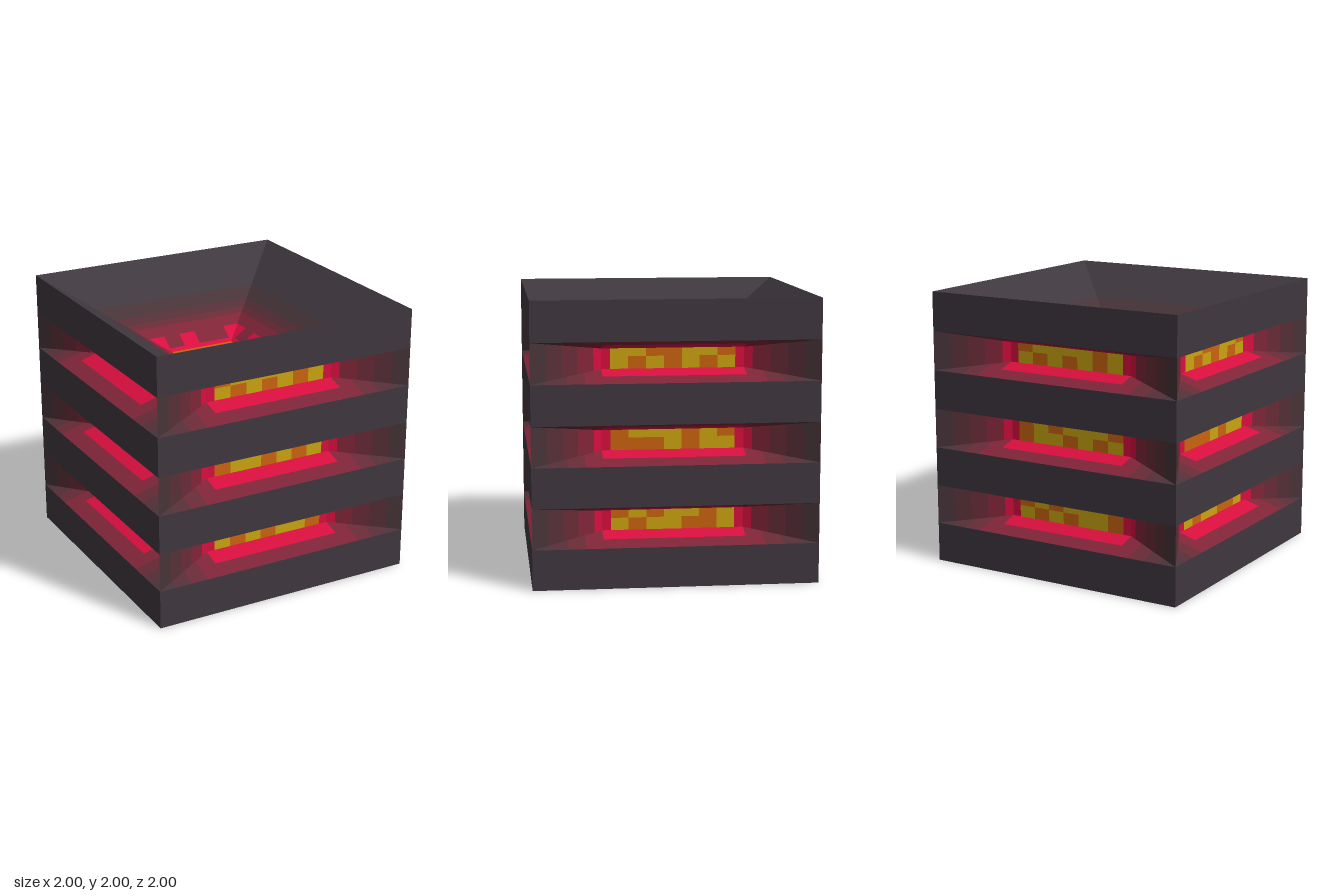
import * as THREE from 'three';

const mat = (name, color) => {
  const m = new THREE.MeshStandardMaterial({ color, side: THREE.DoubleSide });
  m.name = name;
  return m;
};

// Colours run from the cold casing to the hot core
const MATERIALS = [
  mat('charcoal', 0x3f383f),
  mat('warm charcoal', 0x473439),
  mat('dull maroon', 0x562f37),
  mat('maroon', 0x682b36),
  mat('ember red', 0x802538),
  mat('crimson', 0xd80f3e),
  mat('orange', 0xcb640e),
  mat('yellow', 0xcba310),
];
const [CASE, WARM, DULL, MAROON, EMBER, CRIMSON, ORANGE, YELLOW] = MATERIALS.keys();

// Collects flat quads and turns them into one mesh with a geometry group per colour
function patchwork(name) {
  const lists = MATERIALS.map(() => []);
  return {
    quad(colour, corners, flip = false) {
      const [a, b, c, d] = flip ? [...corners].reverse() : corners;
      lists[colour].push(...a, ...b, ...c, ...a, ...c, ...d);
    },
    mesh() {
      const geometry = new THREE.BufferGeometry();
      const used = lists.map((l, i) => i).filter((i) => lists[i].length);
      let start = 0;
      used.forEach((i, slot) => {
        geometry.addGroup(start, lists[i].length / 3, slot);
        start += lists[i].length / 3;
      });
      geometry.setAttribute('position', new THREE.Float32BufferAttribute(used.flatMap((i) => lists[i]), 3));
      geometry.computeVertexNormals();
      const mesh = new THREE.Mesh(geometry, used.map((i) => MATERIALS[i]));
      mesh.name = name;
      return mesh;
    },
  };
}

const UNIT = 2 / 7; // height of one band or slot
const INSET = UNIT / 4; // how far a slot narrows at top and bottom
const DEPTH = 0.25;

// Upright casing band on the front side
function casingBand(y) {
  const p = patchwork('casingBand');
  p.quad(CASE, [[-1, y, 1], [1, y, 1], [1, y + UNIT, 1], [-1, y + UNIT, 1]]);
  return p.mesh();
}

// Sloped sill (or ceiling) of a slot; t runs from the outside in
function slotSlope(name, y, dir) {
  const p = patchwork(name);
  const at = (x, t) => [x, y + dir * INSET * t, 1 - DEPTH * t];
  const strip = (colour, a, b, t0, t1) => {
    const ta = Math.min(t1, 2 - 2 * Math.abs(a));
    const tb = Math.min(t1, 2 - 2 * Math.abs(b));
    p.quad(colour, [at(a, t0), at(b, t0), at(b, tb), at(a, ta)], dir < 0);
  };
  strip(CRIMSON, -0.5, 0.5, 0.5, 1);
  strip(EMBER, -0.625, 0.625, 0, 0.5);
  const sides = [
    [EMBER, 0.5, 0.625, 0.5, 1], [MAROON, 0.625, 0.75, 0.5, 1],
    [MAROON, 0.625, 0.75, 0, 0.5], [DULL, 0.75, 0.875, 0, 0.5], [WARM, 0.875, 1, 0, 0.5],
  ];
  for (const [colour, a, b, t0, t1] of sides) {
    strip(colour, a, b, t0, t1);
    strip(colour, -b, -a, t0, t1);
  }
  return p.mesh();
}

// Angled cheeks at both ends of a slot, glowing towards the core
function slotCheeks(y) {
  const p = patchwork('slotCheeks');
  const steps = [1, 0.89, 0.78, 0.67, 0.556, 0.5];
  const bands = [WARM, DULL, MAROON, EMBER, CRIMSON];
  for (const s of [-1, 1]) {
    const at = (x, top) => {
      const t = 2 - 2 * x;
      return [s * x, top ? y + UNIT - INSET * t : y + INSET * t, 1 - DEPTH * t];
    };
    bands.forEach((colour, i) => {
      const outer = steps[i], inner = steps[i + 1];
      p.quad(colour, [at(inner, 0), at(outer, 0), at(outer, 1), at(inner, 1)], s < 0);
    });
  }
  return p.mesh();
}

// Glowing panel at the back of a slot: two rows of seven tiles, 1 marks an orange tile
function glowPanel(y, [topRow, bottomRow]) {
  const p = patchwork('glowPanel');
  const y0 = y + INSET, y1 = y0 + 0.087, y2 = y + UNIT - INSET, z = 1 - DEPTH;
  const tile = (colour, a, b, lo, hi) => p.quad(colour, [[a, lo, z], [b, lo, z], [b, hi, z], [a, hi, z]]);
  tile(CRIMSON, -0.5, -0.4375, y0, y2);
  tile(CRIMSON, 0.4375, 0.5, y0, y2);
  for (let i = 0; i < 7; i++) {
    const a = -0.4375 + i * 0.125;
    tile(bottomRow[i] === '1' ? ORANGE : YELLOW, a, a + 0.125, y0, y1);
    tile(topRow[i] === '1' ? ORANGE : YELLOW, a, a + 0.125, y1, y2);
  }
  return p.mesh();
}

// One wall of the top funnel, built in rings from the hot floor up to the rim
function funnelWall(pattern) {
  const p = patchwork('funnelWall');
  const at = (x, r) => [x, 1.5 + (r - 0.25) * 2 / 3, -r];
  const ring = (colour, r0, r1) => p.quad(colour, [at(-r0, r0), at(r0, r0), at(r1, r1), at(-r1, r1)]);
  ring(CRIMSON, 0.25, 0.28);
  const low = [-0.28, -0.25, -0.125, 0, 0.125, 0.25, 0.28];
  const high = [-0.375, ...low.slice(1, 6), 0.375];
  for (let i = 0; i < 6; i++) {
    p.quad(pattern[i] === '1' ? CRIMSON : EMBER,
      [at(low[i], 0.28), at(low[i + 1], 0.28), at(high[i + 1], 0.375), at(high[i], 0.375)]);
  }
  ring(EMBER, 0.375, 0.455);
  ring(MAROON, 0.455, 0.5);
  ring(DULL, 0.5, 0.56);
  ring(WARM, 0.56, 0.66);
  ring(CASE, 0.66, 1);
  return p.mesh();
}

// Square floor of the funnel: yellow centre in an orange frame
function funnelFloor() {
  const p = patchwork('funnelFloor');
  const r = 0.125, R = 0.25, y = 1.5;
  const square = (h) => [[-h, y, h], [h, y, h], [h, y, -h], [-h, y, -h]];
  const inner = square(r), outer = square(R);
  p.quad(YELLOW, inner);
  for (let i = 0; i < 4; i++) {
    const j = (i + 1) % 4;
    p.quad(ORANGE, [outer[i], outer[j], inner[j], inner[i]]);
  }
  return p.mesh();
}

// Tile patterns for the lower, middle and upper slot
const FRONT_TILES = [['1010001', '0101001'], ['1010001', '1001010'], ['1000010', '0101010']];
const SIDE_TILES = [['1010010', '0100110'], ['1000101', '1110100'], ['0011010', '0101011']].map((rows, i) =>
  i === 2 ? ['1001010', '0111001'].map((row, k) => (k ? '0101010' : '0011001')) : rows);
const FUNNEL_TILES = ['101001', '010101', '101101', '101011'];

export function createModel() {
  const model = new THREE.Group();
  model.name = 'heaterBlock';
  ['frontSide', 'rightSide', 'backSide', 'leftSide'].forEach((name, k) => {
    const side = new THREE.Group();
    side.name = name;
    for (let i = 0; i < 4; i++) side.add(casingBand(i * 2 * UNIT));
    for (let i = 0; i < 3; i++) {
      const y = (2 * i + 1) * UNIT;
      const slot = new THREE.Group();
      slot.name = 'slot';
      slot.add(
        slotSlope('slotSill', y, 1),
        slotSlope('slotCeiling', y + UNIT, -1),
        slotCheeks(y),
        glowPanel(y, (k % 2 ? SIDE_TILES : FRONT_TILES)[i]),
      );
      side.add(slot);
    }
    side.add(funnelWall(FUNNEL_TILES[k]));
    side.rotation.y = k * Math.PI / 2;
    model.add(side);
  });
  model.add(funnelFloor());
  return model;
}
